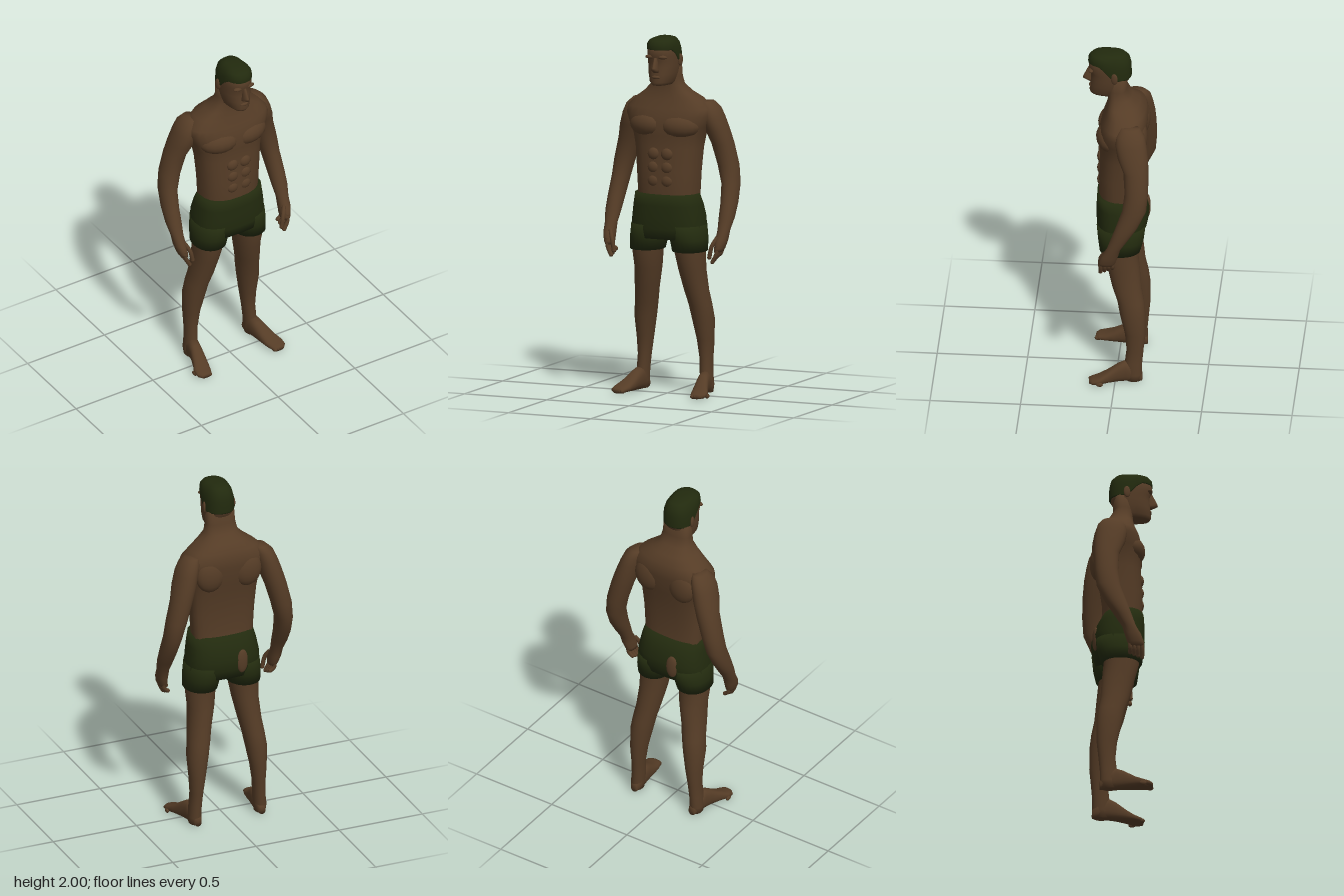
import * as THREE from 'three';

const skin = new THREE.MeshStandardMaterial({ color: 0x553c26 });
skin.name = 'brown skin';
const green = new THREE.MeshStandardMaterial({ color: 0x222a0e });
green.name = 'dark green';

const N = 24;
const spow = (v, e) => Math.sign(v) * Math.abs(v) ** e;

// Horizontal rounded outline with separate front and back depth
function ring(y, w, front, back, { x = 0, zc = (front + back) / 2, n = 2.4 } = {}) {
  return Array.from({ length: N }, (_, i) => {
    const a = (i / N) * Math.PI * 2;
    const c = spow(Math.cos(a), 2 / n), s = spow(Math.sin(a), 2 / n);
    return new THREE.Vector3(x + w * c, y, zc + s * (s > 0 ? front - zc : zc - back));
  });
}

// Closed skin through a list of rings, always facing outwards
function loft(rings) {
  const pos = [], idx = [];
  rings.forEach(r => r.forEach(p => pos.push(p.x, p.y, p.z)));
  for (let j = 0; j < rings.length - 1; j++) {
    for (let i = 0; i < N; i++) {
      const a = j * N + i, b = j * N + (i + 1) % N;
      idx.push(a, a + N, b, b, a + N, b + N);
    }
  }
  [0, rings.length - 1].forEach((j, end) => {
    const mid = rings[j].reduce((m, p) => m.add(p), new THREE.Vector3()).divideScalar(N);
    const k = pos.length / 3;
    pos.push(mid.x, mid.y, mid.z);
    for (let i = 0; i < N; i++) {
      const a = j * N + i, b = j * N + (i + 1) % N;
      if (end) idx.push(k, b, a); else idx.push(k, a, b);
    }
  });
  let volume = 0;
  const P = i => new THREE.Vector3().fromArray(pos, i * 3).sub(rings[0][0]);
  for (let i = 0; i < idx.length; i += 3) {
    volume += P(idx[i]).dot(P(idx[i + 1]).cross(P(idx[i + 2])));
  }
  if (volume < 0) idx.reverse();
  const g = new THREE.BufferGeometry();
  g.setAttribute('position', new THREE.Float32BufferAttribute(pos, 3));
  g.setIndex(idx);
  g.computeVertexNormals();
  return g;
}

export function createModel() {
  const model = new THREE.Group();
  model.name = 'standingMan';
  const add = (name, geometry, material = skin) => {
    const m = new THREE.Mesh(geometry, material);
    m.name = name;
    model.add(m);
    return m;
  };
  const blob = (name, x, y, z, rx, ry, rz, material = skin) => {
    const m = add(name, new THREE.SphereGeometry(1, 16, 10), material);
    m.position.set(x, y, z);
    m.scale.set(rx, ry, rz);
    return m;
  };
  // Limb sections: [y, x, z, half width, half depth]
  const limb = (name, rows, s, material = skin) => add(name, loft(rows.map(
    ([y, x, z, rx, rz]) => ring(y, rx, z + rz, z - rz, { x: x * s, n: 2.1 }))), material);

  // Torso and neck: [y, half width, front, back]
  add('torso', loft([
    [1.00, .165, .09, -.12], [1.12, .176, .105, -.112], [1.25, .184, .106, -.11],
    [1.38, .195, .098, -.13], [1.45, .208, .098, -.145], [1.50, .228, .105, -.155],
    [1.56, .250, .095, -.163], [1.60, .245, .082, -.165], [1.65, .195, .066, -.155],
    [1.69, .135, .058, -.122], [1.73, .095, .055, -.08], [1.78, .085, .06, -.05],
    [1.86, .078, .07, -.055],
  ].map(([y, w, f, b]) => ring(y, w, f, b, { zc: y < 1.68 ? -.04 : -.01, n: 2.5 }))));

  // Head: [y, half width, front, back]
  add('head', loft([
    [1.738, .05, .148, .045], [1.755, .066, .158, .01], [1.80, .077, .153, -.035],
    [1.84, .081, .15, -.064], [1.875, .082, .15, -.068], [1.90, .083, .162, -.069],
    [1.935, .081, .162, -.068], [1.965, .068, .14, -.055], [1.985, .045, .1, -.02],
  ].map(([y, w, f, b]) => ring(y, w, f, b, { zc: .03, n: 2.3 }))));
  add('nose', loft([
    [1.895, .009, .166], [1.84, .014, .192], [1.828, .019, .195], [1.812, .016, .165],
  ].map(([y, w, f]) => ring(y, w, f, .13, { n: 2 }))));
  blob('lips', 0, 1.785, .147, .027, .011, .014);

  // Cropped hair, its edge dropping from the brow to the nape
  const hairline = z => 1.852 + .085 * THREE.MathUtils.smoothstep(z, .0, .11);
  add('hair', loft([
    [0, .083, .16, -.072], [.05, .087, .166, -.076], [.5, .084, .163, -.074],
    [.78, .073, .147, -.064], [.94, .055, .118, -.04], [1, .035, .085, -.005],
  ].map(([t, w, f, b]) => {
    const r = ring(0, w, f, b, { zc: .03, n: 2.3 });
    r.forEach(p => { p.y = THREE.MathUtils.lerp(hairline(p.z), 2, t); });
    return r;
  })), green);

  // Shorts: seat, then a loose cuff on each leg
  add('shortsSeat', loft([
    [1.125, .182, .113, -.118], [1.06, .196, .117, -.152], [.99, .207, .117, -.172],
    [.93, .212, .115, -.165], [.875, .214, .105, -.145],
  ].map(([y, w, f, b]) => ring(y, w, f, b, { n: 2.6 }))), green);
  const patch = blob('bareSeatPatch', -.068, .975, -.158, .035, .07, .016);
  patch.rotation.y = .18;

  for (const s of [1, -1]) {
    const side = s > 0 ? 'left' : 'right';

    limb(side + 'ShortsCuff', [
      [.95, .113, -.025, .098, .135], [.87, .121, -.024, .1, .126],
      [.805, .128, -.02, .094, .113],
    ], s, green);

    limb(side + 'Leg', [
      [.92, .118, -.025, .088, .105], [.80, .128, -.022, .083, .098],
      [.70, .133, -.04, .073, .09], [.58, .15, -.06, .065, .08],
      [.50, .163, -.082, .062, .074], [.42, .175, -.094, .06, .071],
      [.30, .183, -.108, .046, .057], [.20, .187, -.108, .036, .047],
      [.12, .191, -.1, .034, .048], [.05, .196, -.1, .036, .048], [.01, .196, -.1, .03, .042],
    ], s);

    // Foot sections run heel to toe: [z, x, half width, height]
    add(side + 'Foot', loft([
      [-.148, .192, .02, .05], [-.12, .193, .032, .09], [-.06, .198, .036, .125],
      [-.02, .205, .037, .11], [.04, .22, .044, .07], [.085, .235, .05, .045],
      [.12, .24, .044, .034], [.14, .236, .03, .026],
    ].map(([z, x, w, h]) => ring(0, w, h / 2, -h / 2, { n: 2.4 })
      .map(p => new THREE.Vector3(s * x + p.x, p.z + h / 2 + .005, z)))));
    for (let i = 0; i < 5; i++) {
      blob(side + 'Toe', s * (.213 + i * .017), .017, .127 - i * i * .0028,
        i ? .009 : .013, .013, .02);
    }

    limb(side + 'Arm', [
      [1.635, .205, -.085, .035, .05], [1.60, .222, -.085, .055, .077],
      [1.55, .238, -.088, .061, .086], [1.48, .258, -.1, .064, .085],
      [1.40, .282, -.12, .061, .07], [1.28, .314, -.125, .058, .065],
      [1.18, .333, -.115, .049, .066], [1.08, .342, -.075, .046, .06],
      [1.00, .344, -.035, .043, .048], [.935, .342, -.002, .034, .038],
      [.885, .34, .02, .033, .046], [.84, .334, .036, .027, .046], [.82, .33, .04, .02, .04],
    ], s);

    // Fingers hang in a row from front to back, curling inwards
    for (let i = 0; i < 4; i++) {
      const z = .068 - i * .022, tip = .765 + i * .009;
      const path = new THREE.CatmullRomCurve3([
        new THREE.Vector3(s * .334, .855, z), new THREE.Vector3(s * .33, .81, z + .004),
        new THREE.Vector3(s * .308, tip, z + .006)]);
      add(side + 'Finger', new THREE.TubeGeometry(path, 6, .0115, 8));
      blob(side + 'Fingertip', s * .308, tip, z + .006, .0115, .0115, .0115);
    }
    const thumb = new THREE.CatmullRomCurve3([
      new THREE.Vector3(s * .325, .9, .045), new THREE.Vector3(s * .302, .85, .072),
      new THREE.Vector3(s * .29, .79, .076)]);
    add(side + 'Thumb', new THREE.TubeGeometry(thumb, 6, .012, 8));
    blob(side + 'ThumbTip', s * .29, .79, .076, .012, .012, .012);

    // Muscle relief and facial details
    const pec = blob(side + 'Chest', s * .1, 1.505, .045, .112, .07, .068);
    pec.rotation.y = s * .25;
    blob(side + 'ShoulderBlade', s * .11, 1.52, -.125, .085, .1, .045);
    for (let i = 0; i < 3; i++) {
      blob(side + 'Abdominal', s * .04, 1.2 + i * .075, .092, .036, .034, .021);
    }
    blob(side + 'Brow', s * .036, 1.898, .146, .03, .011, .016);
    const ear = blob(side + 'Ear', s * .086, 1.872, .015, .009, .034, .02);
    ear.rotation.y = s * -.25;
  }
  return model;
}
